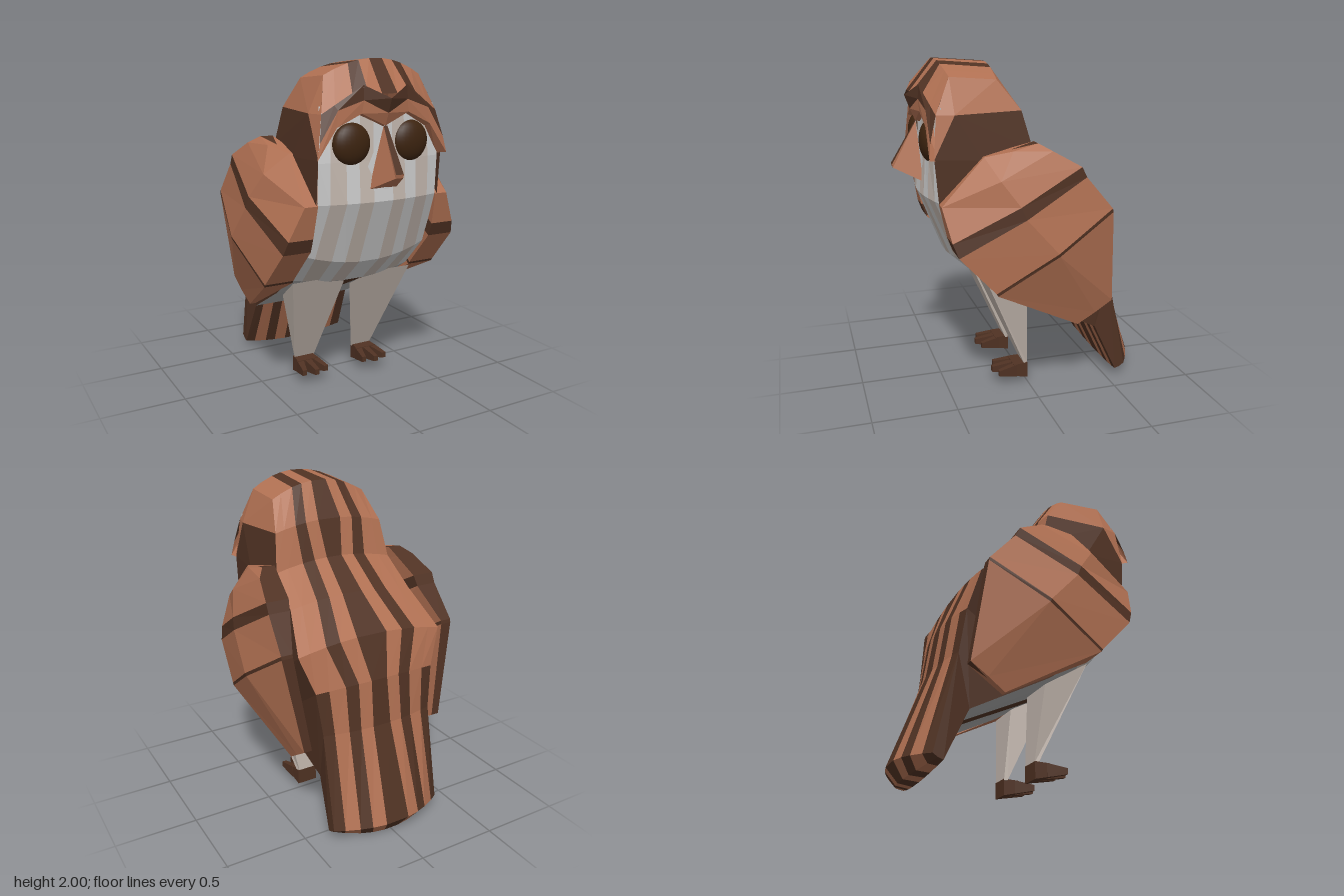
import * as THREE from 'three';

const LIGHT = 0xb07052, DARK = 0x503223, PALE = 0xcccccc, CREAM = 0xc3b7ae, GREY = 0xa8a8a8;
const STRIPES = [0.16, 0.38, 0.58, 0.82, 1];

// Faceted surface through rows of points; color(i, j) picks the colour of each quad
function sheet(name, rows, color) {
  const group = new THREE.Group();
  group.name = name;
  const buckets = new Map();
  for (let i = 0; i < rows.length - 1; i++) {
    for (let j = 0; j < rows[i].length - 1; j++) {
      const c = typeof color === 'function' ? color(i, j) : color;
      if (!buckets.has(c)) buckets.set(c, []);
      const [p, q, r, s] = [rows[i][j], rows[i][j + 1], rows[i + 1][j + 1], rows[i + 1][j]];
      buckets.get(c).push(...p, ...q, ...r, ...p, ...r, ...s);
    }
  }
  for (const [c, pos] of buckets) {
    const geo = new THREE.BufferGeometry();
    geo.setAttribute('position', new THREE.Float32BufferAttribute(pos, 3));
    geo.computeVertexNormals();
    const mat = new THREE.MeshStandardMaterial({ color: c, flatShading: true, side: THREE.DoubleSide });
    const mesh = new THREE.Mesh(geo, mat);
    mesh.name = name + 'Panels';
    group.add(mesh);
  }
  return group;
}

// Arched row across the body: centre z, y, half width, and how far the edges shift in y and z
function arch([z, y, w, dy = 0, dz = 0], power = 1) {
  const f = STRIPES.map((v) => Math.pow(v, power));
  return [...f.map((v) => -v).reverse(), ...f].map((v) => [v * w, y + dy * v * v, z + dz * v * v]);
}

// Top edge of the brow: low in the middle, peaked above each eye, low at the temples
function browLine(x) {
  const a = Math.abs(x), t = a < 0.14 ? a / 0.14 : (a - 0.14) / 0.23;
  return a < 0.14 ? [x, 1.79 + 0.07 * t, 0.67 - 0.06 * t] : [x, 1.86 - 0.15 * t, 0.61 - 0.05 * t];
}

const flip = (rows, s) => rows.map((row) => row.map(([x, y, z]) => [x * s, y, z]));

// Rectangular loop at depth z, and end caps for a stack of loops
const rect = (x0, x1, y0, y1, z) => [[x0, y0, z], [x1, y0, z], [x1, y1, z], [x0, y1, z], [x0, y0, z]];
const collapse = (row) => {
  const n = row.length - 1, c = [0, 0, 0];
  for (let i = 0; i < n; i++) for (let k = 0; k < 3; k++) c[k] += row[i][k] / n;
  return row.map(() => c);
};
const capped = (rows) => [collapse(rows[0]), ...rows, collapse(rows[rows.length - 1])];

function wing(s) {
  // front z, y, x | back z, y, x | middle x | inner front x, inner back x
  const rows = [
    [0.31, 1.48, 0.44, 0.01, 1.55, 0.48, 0.50, 0.39, 0.40],
    [0.56, 1.22, 0.47, -0.06, 1.51, 0.53, 0.57, 0.39, 0.41],
    [0.52, 1.03, 0.55, -0.22, 1.42, 0.57, 0.62, 0.40, 0.43],
    [0.49, 0.95, 0.57, -0.25, 1.36, 0.57, 0.63, 0.40, 0.44],
    [0.285, 0.73, 0.59, -0.41, 1.17, 0.58, 0.65, 0.41, 0.51],
    [0.275, 0.715, 0.59, -0.415, 1.15, 0.58, 0.645, 0.41, 0.51],
    [-0.26, 0.43, 0.46, -0.47, 0.57, 0.48, 0.475, 0.42, 0.43],
  ].map(([fz, fy, fx, bz, by, bx, mx, fin, bin]) => [
    [fin, fy, fz], [fx, fy, fz], [mx, (fy + by) / 2, (fz + bz) / 2],
    [bx, by, bz], [bin, by, bz], [fin, fy, fz],
  ]);
  return sheet(s > 0 ? 'leftWing' : 'rightWing', flip(capped(rows), s),
    (i, j) => (i === 3 || i === 5 || j === 3 ? DARK : LIGHT));
}

function headSide(s) {
  const g = new THREE.Group();
  g.name = 'headSide';
  const A = [0.31, 1.91, 0.47], B = [0.31, 1.89, 0.2], C = [0.36, 1.72, 0.07], D = [0.37, 1.71, 0.56];
  const E = [0.395, 1.71, 0.46], F = [0.39, 1.5, 0.01], G = [0.42, 1.46, 0.31];
  const I = [0.4, 1.47, 0.58], J = [0.4, 1.22, 0.56];
  g.add(sheet('upperCheek', flip([[A, B, C], [D, E, C]], s), LIGHT));
  g.add(sheet('frontCheek', flip([[D, E], [I, I]], s), LIGHT));
  g.add(sheet('nape', flip([[I, E, C], [J, G, F]], s), DARK));
  return g;
}

function brow(s) {
  const rows = [
    [0, 0.14, 0.3, 0.37].map(browLine),
    [[0, 1.71, 0.64], [0.14, 1.78, 0.615], [0.29, 1.73, 0.60], [0.40, 1.56, 0.60]],
    [[0, 1.64, 0.61], [0.15, 1.71, 0.61], [0.30, 1.64, 0.605], [0.42, 1.47, 0.61]],
    [[0, 1.63, 0.56], [0.15, 1.70, 0.56], [0.30, 1.62, 0.55], [0.39, 1.46, 0.55]],
  ];
  return sheet('brow', flip(rows, s), (i) => (i === 0 ? DARK : LIGHT));
}

function leg(s) {
  const g = new THREE.Group();
  g.name = s > 0 ? 'leftLeg' : 'rightLeg';
  const loop = (xa, xb, yf, zf, xc, xd, yb, zb) =>
    [[xa, yf, zf], [xb, yf, zf], [xd, yb, zb], [xc, yb, zb], [xa, yf, zf]];
  const thigh = [loop(0.05, 0.41, 0.71, 0.28, 0.12, 0.36, 0.56, 0.03), loop(0.14, 0.28, 0.12, 0.02, 0.15, 0.27, 0.12, 0)];
  g.add(sheet('thigh', flip(capped(thigh), s), CREAM));
  // Foot pad and three toes
  g.add(sheet('foot', flip(capped([rect(0.15, 0.28, 0.03, 0.13, 0), rect(0.145, 0.285, 0.05, 0.125, 0.09)]), s), DARK));
  for (const k of [-1, 0, 1]) {
    const x = 0.215 + k * 0.05, t = 0.215 + k * 0.075, z = k ? 0.19 : 0.215;
    g.add(sheet('toe', flip(capped([rect(x - 0.022, x + 0.022, 0.045, 0.125, 0.07),
      rect(t - 0.014, t + 0.014, 0.07, 0.105, z)]), s), DARK));
  }
  return g;
}

export function createModel() {
  const owl = new THREE.Group();
  owl.name = 'owl';

  // Striped plumage from forehead over the back, round the tail tip and under the tail
  const back = [
    [0.5, 2.0, 0.31, -0.09, -0.03], [0.2, 1.98, 0.31, -0.09],
    [0.07, 1.77, 0.36, -0.05], [0.01, 1.55, 0.39, -0.05], [-0.2, 1.38, 0.41, -0.04], [-0.42, 1.19, 0.48, -0.05],
    [-0.51, 0.94, 0.40, -0.02, 0.04], [-0.55, 0.66, 0.37, 0, 0.05], [-0.75, 0.10, 0.37, -0.02, 0.13],
    [-0.68, 0.01, 0.37, 0.05, 0.09], [-0.59, 0, 0.37, 0.05, 0.03], [-0.42, 0.35, 0.35],
  ].map((r, i) => arch(r, [1.1, 1, 0.85][i % 3]));
  back.unshift(back[0].map(([x]) => browLine(x * 1.19)));
  owl.add(sheet('backPlumage', back, (i, j) => {
    const k = Math.abs(j - 4);
    if (k === 4) return i < 7 ? LIGHT : DARK;
    return k % 2 ? LIGHT : DARK;
  }));

  // Pale face and chest, then the belly
  const chest = [
    [0.58, 1.75, 0.37, 0, -0.05], [0.59, 1.45, 0.39, 0, -0.03], [0.61, 1.22, 0.39, 0, -0.06],
    [0.46, 0.84, 0.42, 0.07, -0.04], [0.28, 0.68, 0.41, 0.04, -0.04],
  ].map((r) => arch(r));
  owl.add(sheet('chest', chest, (i, j) => (j % 2 ? CREAM : PALE)));
  const belly = [[0.28, 0.68, 0.41, 0.04, -0.04], [0.03, 0.56, 0.40, 0.02], [-0.42, 0.35, 0.35]].map((r) => arch(r));
  owl.add(sheet('belly', belly, (i, j) => (j === 4 ? DARK : GREY)));

  // Beak on a pale ridge
  owl.add(sheet('beakRidge', [
    [[0, 1.66, 0.61], [0, 1.66, 0.61], [0, 1.66, 0.61]],
    [[-0.15, 1.29, 0.58], [0, 1.29, 0.61], [0.15, 1.29, 0.58]],
  ], PALE));
  const beakRow = (x, y, z) => [[-x, y, z], [x, y, z]];
  owl.add(sheet('beakTop', [beakRow(0.012, 1.64, 0.61), beakRow(0.025, 1.39, 0.76), beakRow(0.025, 1.37, 0.755),
    beakRow(0.09, 1.29, 0.59)], (i) => (i ? LIGHT : DARK)));

  // Flattened dome eyes
  const eyeMaterial = new THREE.MeshStandardMaterial({ color: 0x3d2410 });
  for (const s of [1, -1]) {
    const eye = new THREE.Mesh(new THREE.SphereGeometry(0.117, 24, 16), eyeMaterial);
    eye.name = s > 0 ? 'leftEye' : 'rightEye';
    eye.scale.z = 0.5;
    eye.position.set(0.19 * s, 1.545, 0.565);
    owl.add(eye, brow(s), headSide(s), wing(s), leg(s));

    // Sides of beak, torso and tail
    owl.add(sheet('beakSide', flip([[[0.012, 1.64, 0.61], [0.025, 1.39, 0.76]], [[0.09, 1.29, 0.59], [0.025, 1.37, 0.755]]], s), LIGHT));
    owl.add(sheet('torsoSide', flip([
      [[0.39, 1.5, 0.01], [0.41, 1.34, -0.2], [0.48, 1.14, -0.42], [0.40, 0.92, -0.47], [0.37, 0.66, -0.5]],
      [[0.39, 1.22, 0.55], [0.42, 0.91, 0.42], [0.41, 0.72, 0.24], [0.40, 0.58, 0.03], [0.35, 0.35, -0.42]],
    ], s), DARK));
    owl.add(sheet('tailSide', flip([
      [[0.37, 0.66, -0.5], [0.37, 0.08, -0.62], [0.37, 0.06, -0.59]],
      [[0.35, 0.35, -0.42], [0.37, 0.05, -0.56], [0.37, 0.05, -0.56]],
    ], s), DARK));
  }
  return owl;
}
